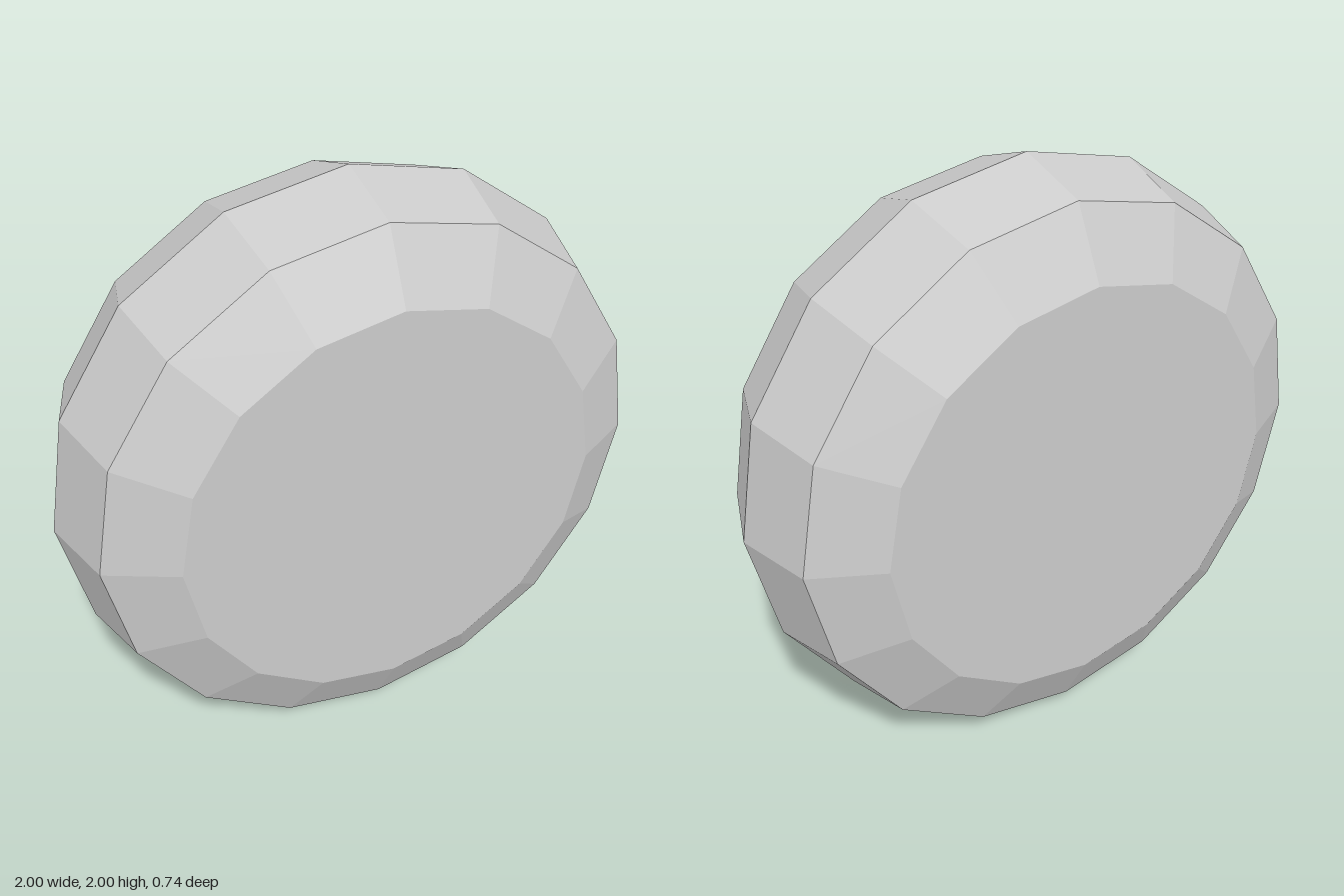
import * as THREE from 'three';

export function createModel() {
  const group = new THREE.Group();
  group.name = 'facetedDisc';

  // Half profile [radius, height] from flat face to rim, mirrored for the other side
  const half = [[0, 0.37], [0.707, 0.37], [0.924, 0.26]];
  const profile = [
    ...half.map(([r, h]) => new THREE.Vector2(r, -h)),
    new THREE.Vector2(1, 0),
    ...half.slice().reverse().map(([r, h]) => new THREE.Vector2(r, h)),
  ];

  // Sixteen-sided disc standing on its rim, flat faces to front and back
  const geometry = new THREE.LatheGeometry(profile, 16);
  geometry.rotateX(Math.PI / 2);
  const material = new THREE.MeshStandardMaterial({ color: 0xcccccc, flatShading: true });
  const disc = new THREE.Mesh(geometry, material);
  disc.name = 'disc';
  disc.position.y = 1;
  group.add(disc);

  return group;
}
